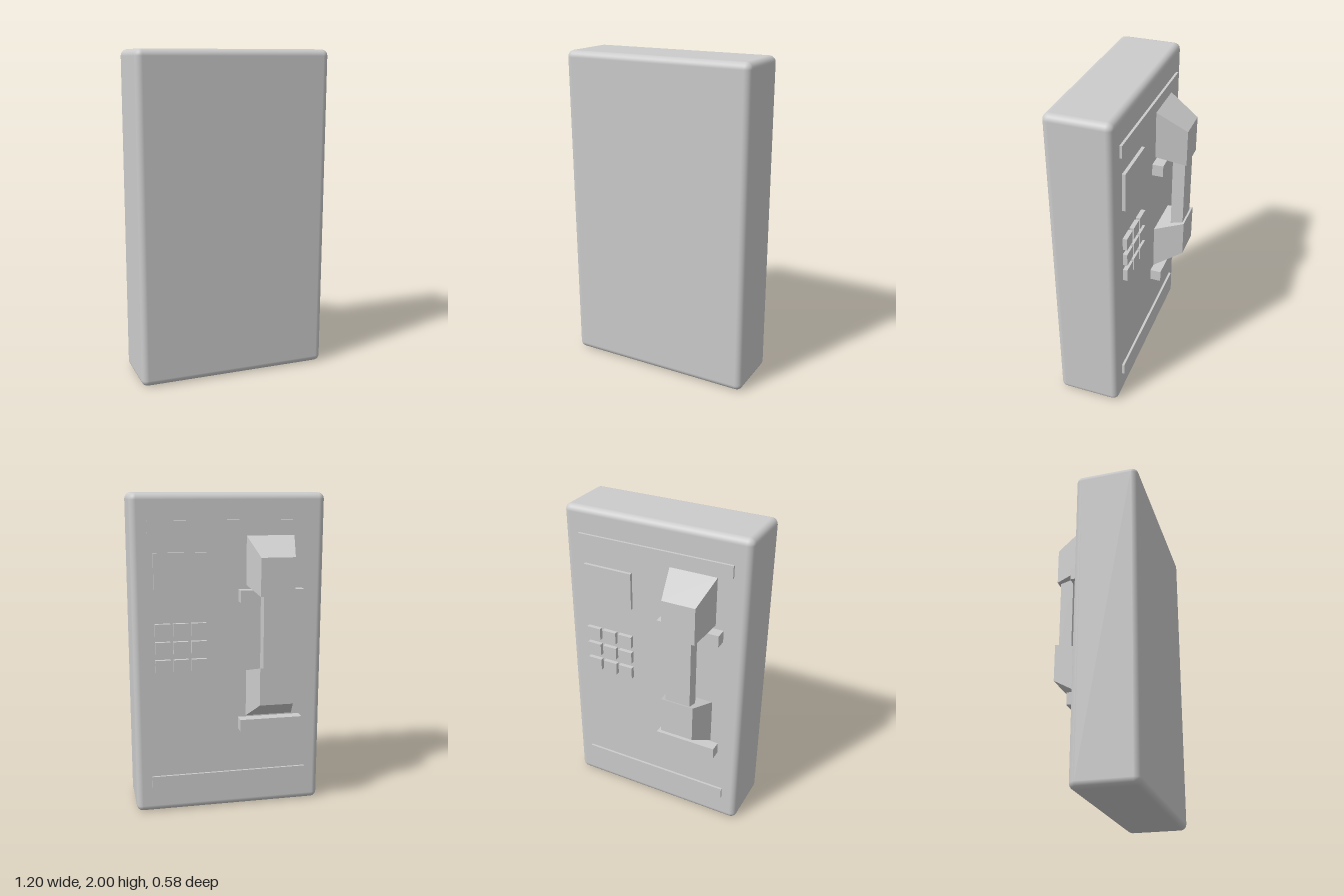
import * as THREE from 'three';
import { RoundedBoxGeometry } from 'three/addons/geometries/RoundedBoxGeometry.js';

const material = new THREE.MeshStandardMaterial({ color: 0xcccccc });

function add(parent, name, geometry) {
  const mesh = new THREE.Mesh(geometry, material);
  mesh.name = name;
  parent.add(mesh);
  return mesh;
}

// Box given by its limits on each axis
function box(parent, name, [x0, x1], [y0, y1], [z0, z1]) {
  const mesh = add(parent, name, new THREE.BoxGeometry(x1 - x0, y1 - y0, z1 - z0));
  mesh.position.set((x0 + x1) / 2, (y0 + y1) / 2, (z0 + z1) / 2);
  return mesh;
}

// Tapered block: a box whose inner (+z) and outer (-z) ends have their own limits
function taperedBlock(parent, name, inner, outer) {
  const geometry = new THREE.BoxGeometry(1, 1, 1);
  const p = geometry.attributes.position;
  for (let i = 0; i < p.count; i++) {
    const end = p.getZ(i) > 0 ? inner : outer;
    p.setXYZ(i, end.x[p.getX(i) > 0 ? 1 : 0], end.y[p.getY(i) > 0 ? 1 : 0], end.z);
  }
  geometry.computeVertexNormals();
  return add(parent, name, geometry);
}

export function createModel() {
  const model = new THREE.Group();
  model.name = 'wallPhone';
  const panel = -0.105; // z of the panel that carries the controls
  const inside = panel + 0.02; // parts are sunk slightly into the body

  // Housing with rounded edges
  const body = add(model, 'body', new RoundedBoxGeometry(1.2, 2, 0.395, 4, 0.04));
  body.position.set(0, 1, 0.0925);

  // Trim strips near the top and bottom
  box(model, 'upperTrim', [-0.5, 0.5], [1.765, 1.84], [-0.12, inside]);
  box(model, 'lowerTrim', [-0.5, 0.5], [0.165, 0.24], [-0.12, inside]);

  // Display
  box(model, 'screen', [0.145, 0.468], [1.415, 1.65], [-0.125, inside]);

  // Keypad, three by three
  const keypad = new THREE.Group();
  keypad.name = 'keypad';
  model.add(keypad);
  for (let row = 0; row < 3; row++) {
    for (let col = 0; col < 3; col++) {
      const x = 0.195 + col * 0.112, y = 0.958 + row * 0.1125;
      box(keypad, 'key', [x - 0.047, x + 0.047], [y - 0.039, y + 0.039], [-0.132, inside]);
    }
  }

  // Cradle ledges under each end of the handset
  for (const y of [0.5625, 1.3825]) {
    box(model, 'cradle', [-0.455, -0.055], [y - 0.0375, y + 0.0375], [-0.175, inside]);
  }

  // Handset: grip between two tapered ends
  const handset = new THREE.Group();
  handset.name = 'handset';
  model.add(handset);
  box(handset, 'grip', [-0.333, -0.173], [0.92, 1.43], [-0.28, -0.2]);
  const innerX = [-0.405, -0.105], outerX = [-0.36, -0.15];
  taperedBlock(handset, 'earpiece',
    { x: innerX, y: [1.445, 1.745], z: -0.108 },
    { x: outerX, y: [1.395, 1.627], z: -0.294 });
  taperedBlock(handset, 'mouthpiece',
    { x: innerX, y: [0.608, 0.905], z: -0.108 },
    { x: outerX, y: [0.725, 0.96], z: -0.294 });

  return model;
}
